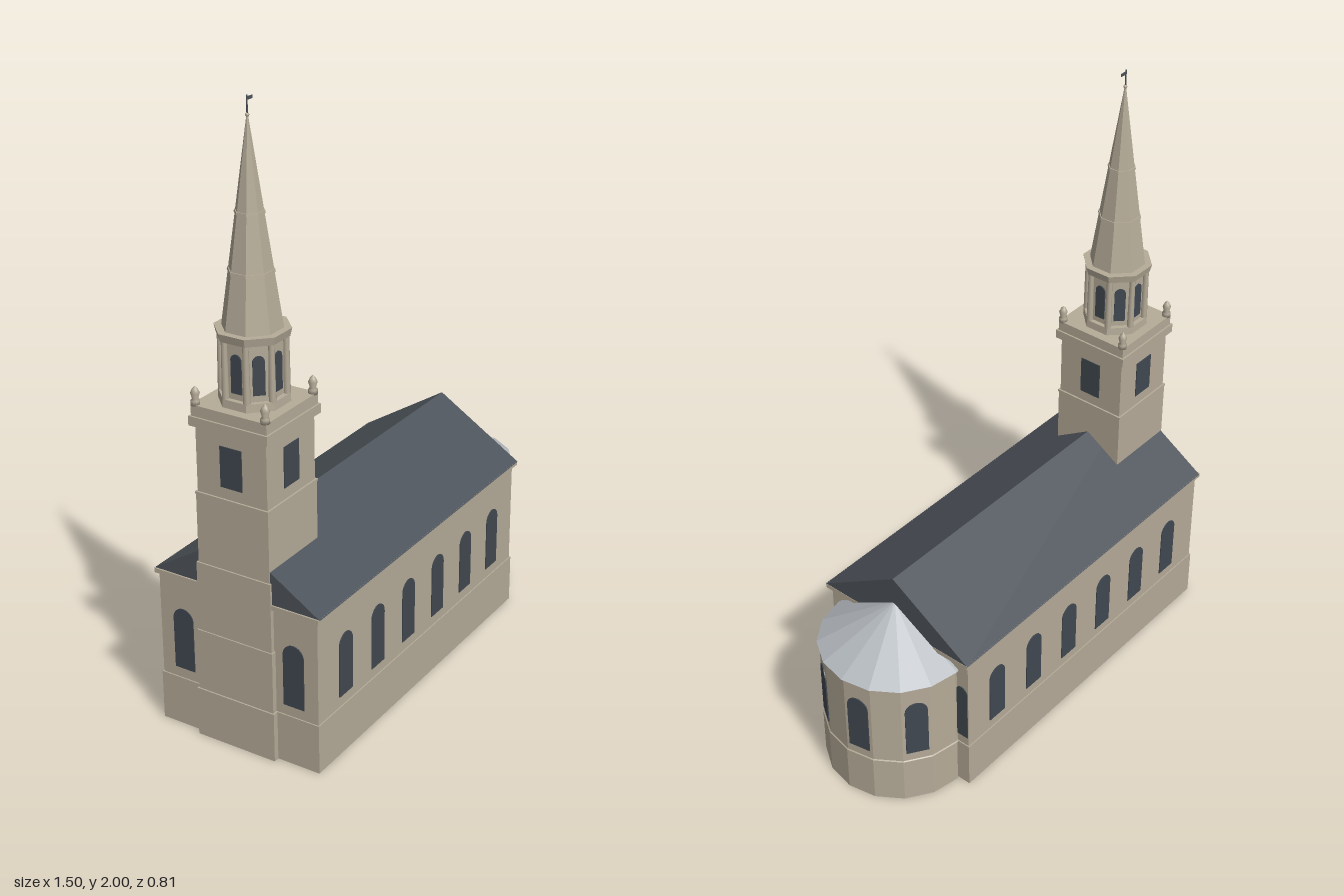
import * as THREE from 'three';

const mat = (name, color) => {
  const m = new THREE.MeshStandardMaterial({ color });
  m.name = name;
  return m;
};

export function createModel() {
  const stone = mat('stone', 0xb5ab98);
  const slate = mat('slate', 0x4d535a);
  const glass = mat('dark glass', 0x414850);
  const lead = mat('lead grey', 0xb3b8bd);

  const model = new THREE.Group();
  model.name = 'church';
  // local x runs along the nave, slightly turned in plan
  const church = new THREE.Group();
  church.name = 'churchBody';
  church.position.x = -0.094;
  church.rotation.y = 0.184;
  model.add(church);

  const add = (name, geo, material, x = 0, y = 0, z = 0, ry = 0, parent = church) => {
    const m = new THREE.Mesh(geo, material);
    m.name = name;
    m.position.set(x, y, z);
    m.rotation.y = ry;
    parent.add(m);
    return m;
  };
  const faceted = (geo) => {
    const g = geo.toNonIndexed();
    g.computeVertexNormals();
    return g;
  };
  // box given by half sizes and its bottom and top heights
  const block = (name, hx, hz, y0, y1, x, parent = church, material = stone) =>
    add(name, new THREE.BoxGeometry(2 * hx, y1 - y0, 2 * hz), material, x, (y0 + y1) / 2, 0, 0, parent);
  // prism or frustum with flat sides facing the axes
  const octagon = (name, r0, r1, y0, y1, material, parent) =>
    add(name, faceted(new THREE.CylinderGeometry(r1, r0, y1 - y0, 8)), material, 0, (y0 + y1) / 2, 0, Math.PI / 8, parent);

  // open-bottomed plinth wall
  const rect = (path, a, b) => path.moveTo(-a, -b).lineTo(a, -b).lineTo(a, b).lineTo(-a, b).closePath();
  const plinth = (name, hx, hz, h, x, parent = church) => {
    const s = rect(new THREE.Shape(), hx, hz);
    s.holes.push(rect(new THREE.Path(), hx - 0.008, hz - 0.008));
    const g = new THREE.ExtrudeGeometry(s, { depth: h, bevelEnabled: false }).rotateX(-Math.PI / 2);
    return add(name, g, stone, x, 0, 0, 0, parent);
  };

  // round-headed window plate, facing +z, base at y = 0
  const archWindow = (w, h) => {
    const r = w / 2;
    const s = new THREE.Shape().moveTo(-r, 0).lineTo(r, 0).lineTo(r, h - r);
    s.absarc(0, h - r, r, 0, Math.PI, false);
    s.closePath();
    return new THREE.ExtrudeGeometry(s, { depth: 0.006, bevelEnabled: false, curveSegments: 8 });
  };
  const tall = archWindow(0.073, 0.21);
  const narrow = archWindow(0.045, 0.21);

  // nave
  const NX = -0.005, HU = 0.602, HV = 0.285;
  plinth('navePlinth', HU + 0.004, HV + 0.004, 0.165, NX);
  block('naveWalls', HU, HV, 0.163, 0.52, NX);
  block('naveCornice', 0.616, 0.295, 0.515, 0.53, -0.002);
  const gable = new THREE.Shape().moveTo(-0.298, 0).lineTo(0.298, 0).lineTo(0, 0.188).closePath();
  const roof = new THREE.ExtrudeGeometry(gable, { depth: 1.226, bevelEnabled: false });
  add('naveRoof', roof, slate, -0.613, 0.528, 0, Math.PI / 2);
  for (const side of [1, -1]) {
    for (let i = 0; i < 6; i++)
      add('naveWindow', tall, glass, -0.457 + i * 0.183, 0.2, side * (HV - 0.003), side > 0 ? 0 : Math.PI);
    add('westWindow', tall, glass, NX - HU + 0.003, 0.2, side * 0.2, -Math.PI / 2);
    add('eastWindow', narrow, glass, NX + HU - 0.003, 0.2, side * 0.26, Math.PI / 2);
  }

  // apse
  const AX = 0.607;
  const apseWall = faceted(new THREE.CylinderGeometry(0.246, 0.246, 0.165, 8, 1, true, 0, Math.PI));
  const inner = faceted(new THREE.CylinderGeometry(0.239, 0.239, 0.165, 8, 1, true, 0, Math.PI).scale(1, 1, 1));
  inner.index = null;
  add('apsePlinth', apseWall, stone, AX, 0.0825);
  // inner face of the plinth: mirrored, so its front looks inward
  const p = inner.attributes.position;
  for (let i = 0; i < p.count; i += 3) {
    const a = new THREE.Vector3().fromBufferAttribute(p, i + 1);
    const b = new THREE.Vector3().fromBufferAttribute(p, i + 2);
    p.setXYZ(i + 1, b.x, b.y, b.z);
    p.setXYZ(i + 2, a.x, a.y, a.z);
  }
  inner.computeVertexNormals();
  add('apsePlinthInside', inner, stone, AX, 0.0825);
  add('apseWalls', faceted(new THREE.CylinderGeometry(0.242, 0.242, 0.313, 16)), stone, AX, 0.3195);
  add('apsePlinthTop', faceted(new THREE.CylinderGeometry(0.242, 0.246, 0.004, 16)), stone, AX, 0.165);
  add('apseRoof', faceted(new THREE.ConeGeometry(0.25, 0.147, 16)), lead, AX, 0.5475);
  for (let i = 0; i < 4; i++) {
    const a = (-78.75 + 45 * i) * Math.PI / 180, r = 0.235;
    add('apseWindow', tall, glass, AX + r * Math.cos(a), 0.2, -r * Math.sin(a), a + Math.PI / 2);
  }

  // tower
  const tower = new THREE.Group();
  tower.name = 'tower';
  tower.position.x = -0.489;
  church.add(tower);
  plinth('towerPlinth', 0.141, 0.141, 0.165, 0, tower);
  const stages = [
    [0.136, 0.163, 0.37], [0.132, 0.37, 0.6], [0.127, 0.6, 0.83], [0.123, 0.83, 1.045],
    [0.129, 0.825, 0.833], [0.137, 1.045, 1.075], [0.131, 1.075, 1.11],
  ];
  for (const [h, y0, y1] of stages) block('towerStage', h, h, y0, y1, 0, tower);
  const louvre = new THREE.BoxGeometry(0.076, 0.13, 0.006);
  for (let i = 0; i < 4; i++) {
    const a = i * Math.PI / 2;
    add('belfryWindow', louvre, glass, 0.123 * Math.sin(a), 0.935, 0.123 * Math.cos(a), a, tower);
  }

  // corner pinnacles
  const urn = new THREE.LatheGeometry(
    [[0, 0], [0.014, 0], [0.014, 0.015], [0.009, 0.02], [0.014, 0.038], [0.009, 0.05], [0, 0.06]]
      .map(([x, y]) => new THREE.Vector2(x, y)), 10);
  for (const sx of [1, -1]) for (const sz of [1, -1])
    add('pinnacle', urn, stone, sx * 0.121, 1.107, sz * 0.121, 0, tower);

  // octagonal lantern
  octagon('lanternBase', 0.108, 0.106, 1.108, 1.135, stone, tower);
  octagon('lanternCore', 0.09, 0.09, 1.13, 1.32, stone, tower);
  octagon('lanternCornice', 0.108, 0.114, 1.31, 1.335, stone, tower);
  const opening = archWindow(0.036, 0.12);
  const column = new THREE.CylinderGeometry(0.009, 0.011, 0.18, 8);
  for (let i = 0; i < 8; i++) {
    const a = i * Math.PI / 4, b = a + Math.PI / 8;
    add('lanternOpening', opening, glass, 0.081 * Math.sin(a), 1.155, 0.081 * Math.cos(a), a, tower);
    add('lanternColumn', column, stone, 0.096 * Math.sin(b), 1.223, 0.096 * Math.cos(b), 0, tower);
  }

  // spire with thin bands, finial and vane
  const spireR = (y) => 0.003 + 0.088 * (1.94 - y) / 0.605;
  octagon('spire', spireR(1.335), 0.003, 1.335, 1.94, stone, tower);
  for (const y of [1.5, 1.67])
    octagon('spireBand', spireR(y) + 0.003, spireR(y + 0.008) + 0.003, y, y + 0.008, stone, tower);
  add('finialRod', new THREE.CylinderGeometry(0.0025, 0.0025, 0.07, 6), slate, 0, 1.965, 0, 0, tower);
  add('finialBall', new THREE.SphereGeometry(0.006, 8, 6), stone, 0, 1.945, 0, 0, tower);
  add('vane', new THREE.BoxGeometry(0.024, 0.009, 0.003), slate, 0.012, 1.99, 0, 0, tower);

  return model;
}
